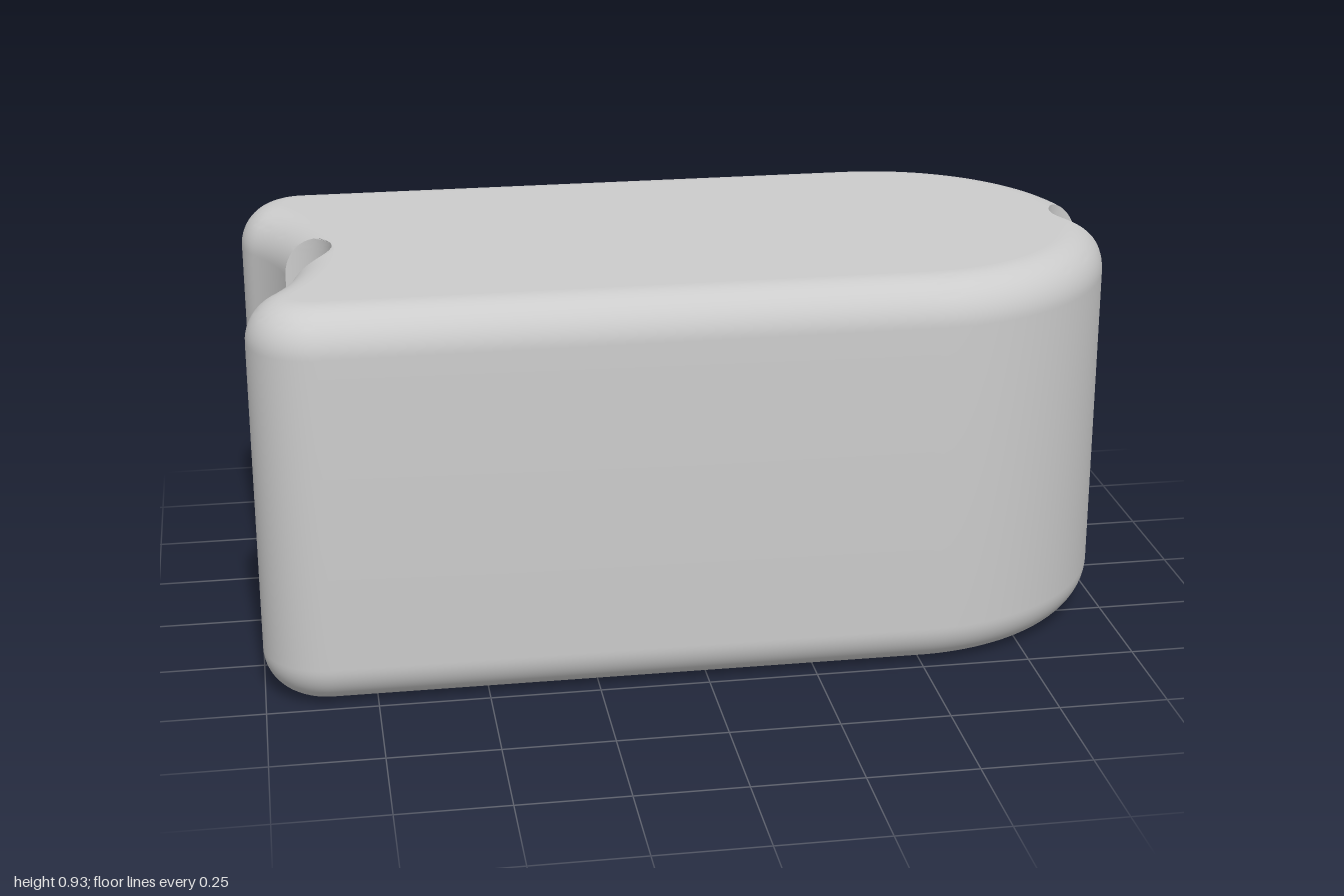
import * as THREE from 'three';
import { toCreasedNormals } from 'three/addons/utils/BufferGeometryUtils.js';

const HEIGHT = 0.927, HALF = 0.513, FILLET = 0.1;
const NOSE_X = 0.5;                                   // centre of the rounded end
const CORNER = { x: -0.85, r: 0.15, z: HALF - 0.15 }; // rounded tail corners
const HOLLOW_X = -1.4;                                // centre of the concave tail arc
const HOLLOW_R = Math.hypot(CORNER.x - HOLLOW_X, CORNER.z) - CORNER.r;
const HOLLOW_A = Math.atan2(CORNER.z, CORNER.x - HOLLOW_X);
const GROOVE_R = 0.105, NOSE_GROOVE_X = 1.01, TAIL_GROOVE_X = -0.9;

// Points [x, z] on an arc, both ends included
function arc(cx, cz, r, from, to, n) {
  return Array.from({ length: n + 1 }, (_, i) => {
    const a = from + (to - from) * i / n;
    return [cx + r * Math.cos(a), cz + r * Math.sin(a)];
  });
}

// Where an end arc meets its groove: angle on the end arc, angle on the groove
function meet(cx, r, grooveX) {
  const D = grooveX - cx;
  const x = (D * D + r * r - GROOVE_R * GROOVE_R) / (2 * D);
  if (x >= r) return null;
  const z = Math.sqrt(r * r - x * x);
  return { end: Math.atan2(z, x), groove: Math.atan2(z, x - D) };
}

// Half of a groove; collapses to a point where the fillet has passed it
function grooveArc(hit, grooveX, from, edgeX) {
  return hit ? arc(grooveX, 0, GROOVE_R, from, hit.groove, 12)
    : Array.from({ length: 13 }, () => [edgeX, 0]);
}

// Closed outline of the block inset by d, with both grooves cut in
function outline(d) {
  const noseR = HALF - d, hollowR = HOLLOW_R + d;
  const nose = meet(NOSE_X, noseR, NOSE_GROOVE_X);
  const tail = meet(HOLLOW_X, hollowR, TAIL_GROOVE_X);
  const half = [
    ...grooveArc(nose, NOSE_GROOVE_X, Math.PI, NOSE_X + noseR),
    ...arc(NOSE_X, 0, noseR, nose ? nose.end : 0, Math.PI / 2, 28).slice(1),
    ...arc(CORNER.x, CORNER.z, CORNER.r - d, Math.PI / 2, Math.PI + HOLLOW_A, 24),
    ...arc(HOLLOW_X, 0, hollowR, HOLLOW_A, tail ? tail.end : 0, 12).slice(1),
    ...grooveArc(tail, TAIL_GROOVE_X, 0, HOLLOW_X + hollowR).reverse().slice(1),
  ];
  const mirrored = half.slice(1, -1).reverse().map(([x, z]) => [x, -z]);
  return [...half, ...mirrored];
}

// Walls and rolled edges, lofted through a stack of outlines
function wallGeometry() {
  const steps = 16, layers = [];
  for (let i = 0; i <= steps; i++) {
    const t = i / steps * Math.PI / 2;
    layers.push([FILLET * (1 - Math.sin(t)), FILLET * (1 - Math.cos(t))]);
  }
  layers.push(...layers.slice().reverse().map(([d, y]) => [d, HEIGHT - y]));

  const positions = [], index = [];
  let n = 0;
  for (const [d, y] of layers) {
    const loop = outline(d);
    n = loop.length;
    for (const [x, z] of loop) positions.push(x, y, z);
  }
  for (let j = 0; j < layers.length - 1; j++) {
    for (let i = 0; i < n; i++) {
      const k = (i + 1) % n;
      const a = j * n + i, b = j * n + k, c = a + n, e = b + n;
      index.push(a, c, b, b, c, e);
    }
  }
  const g = new THREE.BufferGeometry();
  g.setAttribute('position', new THREE.Float32BufferAttribute(positions, 3));
  g.setIndex(index);
  return toCreasedNormals(g, 0.6);
}

export function createModel() {
  const group = new THREE.Group();
  group.name = 'groovedBlock';
  const material = new THREE.MeshStandardMaterial({ color: 0xcccccc });
  const add = (name, geometry) => {
    const mesh = new THREE.Mesh(geometry, material);
    mesh.name = name;
    group.add(mesh);
    return mesh;
  };

  add('walls', wallGeometry());

  // Flat faces inside the rolled edges
  const face = new THREE.Shape(outline(FILLET).map(([x, z]) => new THREE.Vector2(x, z)));
  add('topFace', new THREE.ShapeGeometry(face).rotateX(-Math.PI / 2)).position.y = HEIGHT;
  add('bottomFace', new THREE.ShapeGeometry(face).rotateX(Math.PI / 2));

  return group;
}
